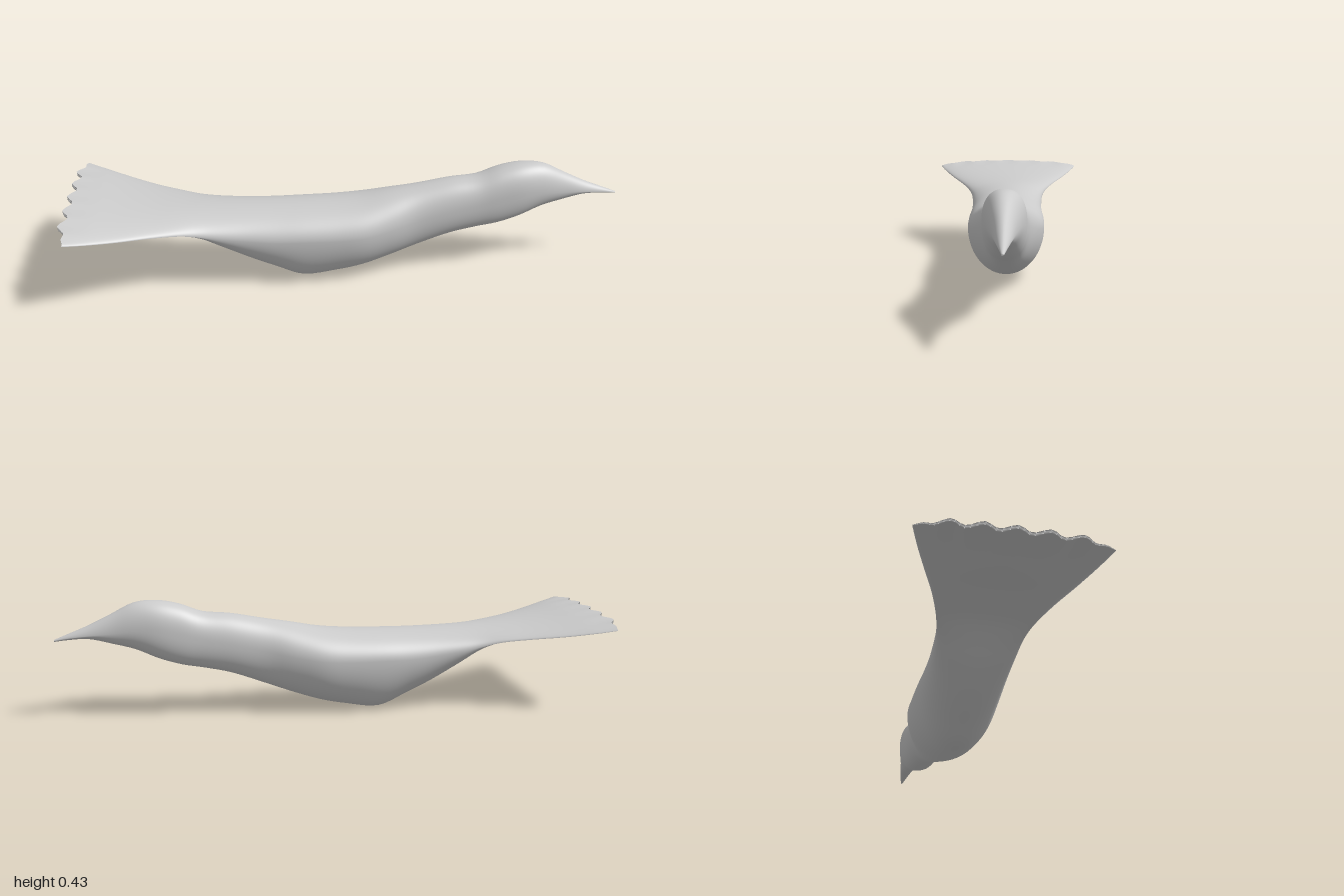
import * as THREE from 'three';

// Cross-sections from tail to bill: x, top y, widest-point y, bottom y, half width, squareness
const SECTIONS = [
  [-0.97, 0.352, 0.326, 0.338, 0.306, 2],
  [-0.90, 0.341, 0.312, 0.327, 0.28, 2],
  [-0.80, 0.325, 0.294, 0.311, 0.238, 2],
  [-0.70, 0.313, 0.28, 0.296, 0.196, 2],
  [-0.60, 0.306, 0.266, 0.272, 0.163, 2],
  [-0.53, 0.303, 0.25, 0.225, 0.147, 2],
  [-0.46, 0.301, 0.235, 0.165, 0.142, 2],
  [-0.36, 0.30, 0.22, 0.10, 0.139, 2],
  [-0.26, 0.30, 0.21, 0.05, 0.141, 2],
  [-0.16, 0.302, 0.21, 0.007, 0.143, 2],
  [-0.04, 0.307, 0.21, 0.022, 0.142, 2],
  [0.06, 0.317, 0.215, 0.044, 0.137, 2],
  [0.16, 0.337, 0.23, 0.077, 0.114, 2],
  [0.26, 0.355, 0.25, 0.115, 0.087, 2.1],
  [0.38, 0.378, 0.275, 0.16, 0.077, 2.2],
  [0.48, 0.389, 0.295, 0.184, 0.072, 2.3],
  [0.56, 0.419, 0.315, 0.2, 0.072, 2.4],
  [0.64, 0.435, 0.335, 0.226, 0.069, 2.3],
  [0.72, 0.43, 0.338, 0.262, 0.056, 2.1],
  [0.80, 0.392, 0.328, 0.285, 0.039, 2],
  [0.88, 0.354, 0.32, 0.305, 0.026, 1.8],
  [0.95, 0.326, 0.312, 0.304, 0.014, 1.8],
  [1.0, 0.306, 0.303, 0.299, 0.004, 2],
];
const RING = 96; // points around each section
const STEPS = 4; // rings per section gap

// Smooth interpolation of every section channel
function sectionAt(t) {
  const last = SECTIONS.length - 1;
  const i = Math.min(Math.floor(t), last - 1);
  const f = t - i;
  const at = (k) => SECTIONS[Math.max(0, Math.min(last, k))];
  return SECTIONS[i].map((b, c) => {
    const a = at(i - 1)[c], d = at(i + 1)[c], e = at(i + 2)[c];
    return b + 0.5 * f * (d - a + f * (2 * a - 5 * b + 4 * d - e + f * (3 * (b - d) + e - a)));
  });
}

function buildSkin() {
  const rings = (SECTIONS.length - 1) * STEPS + 1;
  const pos = [];
  for (let r = 0; r < rings; r++) {
    const [x, top, mid, bottom, width, power] = sectionAt(r / STEPS);
    for (let k = 0; k < RING; k++) {
      const a = (k / RING) * Math.PI * 2;
      const c = Math.cos(a), s = Math.sin(a);
      const z = Math.sign(c) * Math.abs(c) ** (2 / power) * width;
      const h = Math.abs(s) ** (2 / power);
      const y = mid + (s > 0 ? top - mid : bottom - mid) * h;
      // scalloped feather tips along the trailing edge of the tail
      const fade = Math.max(0, 1 - r / STEPS);
      const inner = 1 - THREE.MathUtils.smoothstep(Math.abs(z), 0.24, 0.3);
      const tip = (0.016 + 0.014 * Math.cos(z * Math.PI * 20)) * inner;
      pos.push(x - tip * fade, y, z - 0.003);
    }
  }
  const band = (from, to) => {
    const index = [];
    for (let r = from; r < to; r++) {
      for (let k = 0; k < RING; k++) {
        const p = r * RING + k, q = r * RING + ((k + 1) % RING);
        index.push(p, p + RING, q, q, p + RING, q + RING);
      }
    }
    return index;
  };
  const skin = new THREE.BufferGeometry();
  skin.setAttribute('position', new THREE.Float32BufferAttribute(pos, 3));
  skin.setIndex(band(0, rings - 1));
  skin.computeVertexNormals();
  return { skin, band, rings };
}

// Flat strip closing the tail edge between upper and lower surface
function tailCap(k0) {
  const index = [];
  for (let k = 0; k < RING / 2; k++) {
    const a = k0 + k, b = k0 + k + 1;
    const c = k0 + ((RING - k) % RING), d = k0 + RING - k - 1;
    index.push(a, b, c, b, d, c);
  }
  return index;
}

// Fan closing the bill tip
function billCap(k0) {
  const index = [];
  for (let k = 1; k < RING - 1; k++) index.push(k0, k0 + k, k0 + k + 1);
  return index;
}

export function createModel() {
  const group = new THREE.Group();
  group.name = 'bird';
  const material = new THREE.MeshStandardMaterial({ color: 0xcccccc, side: THREE.DoubleSide });
  const { skin, band, rings } = buildSkin();

  // Parts share one smooth skin, so no seam shows between them
  const addPart = (name, fromSection, toSection, cap = []) => {
    const geometry = skin.clone();
    geometry.setIndex([...band(fromSection * STEPS, toSection * STEPS), ...cap]);
    const mesh = new THREE.Mesh(geometry, material);
    mesh.name = name;
    group.add(mesh);
  };
  addPart('tail', 0, 5, tailCap(0));
  addPart('body', 5, 14);
  addPart('head', 14, 19);
  addPart('bill', 19, SECTIONS.length - 1, billCap((rings - 1) * RING));
  return group;
}
